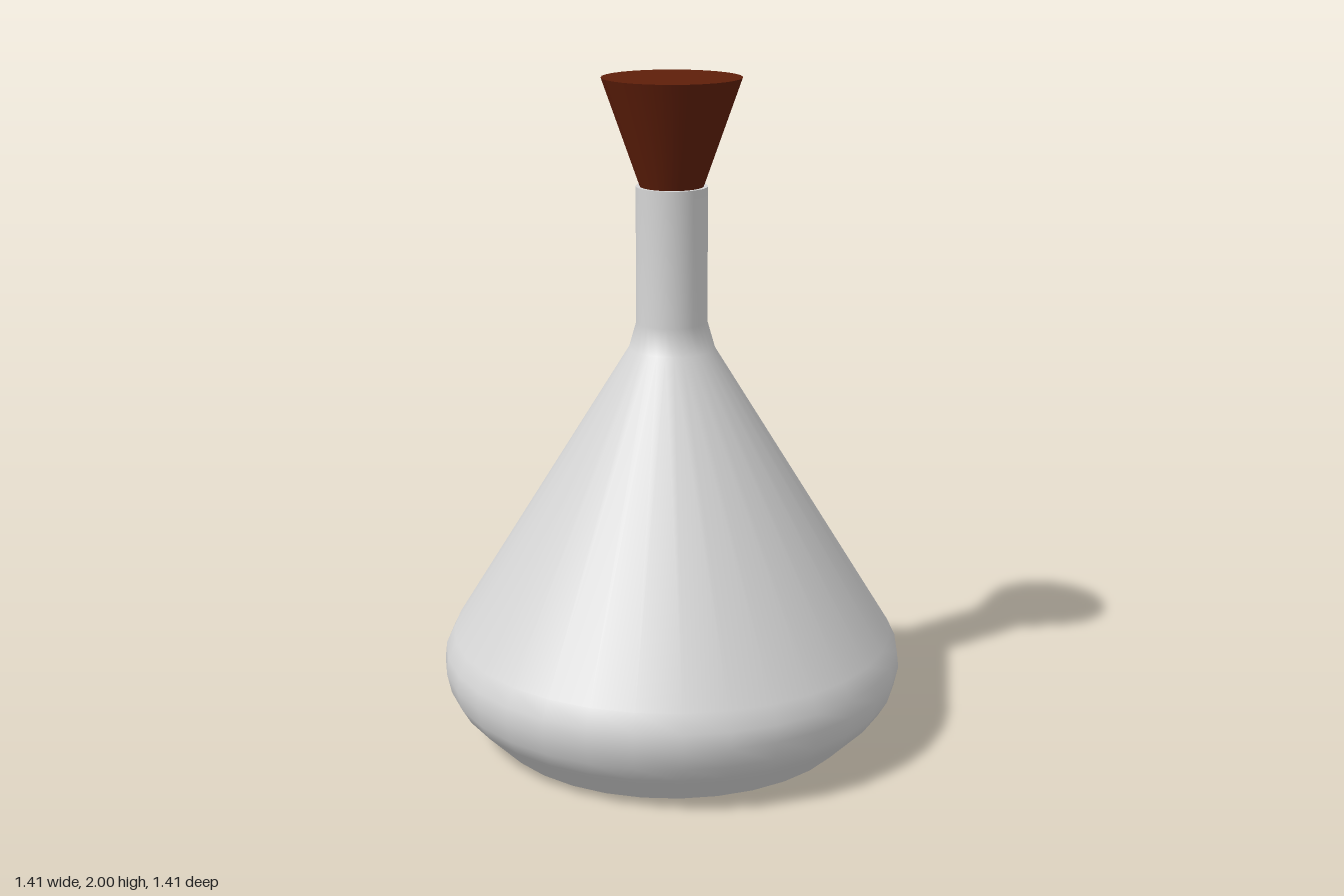
import * as THREE from 'three';

const SEGMENTS = 32;

// Revolve one smooth run of [radius, height] points; separate runs keep hard edges
function revolve(name, points, material) {
  const profile = points.map(([r, y]) => new THREE.Vector2(r, y));
  const mesh = new THREE.Mesh(new THREE.LatheGeometry(profile, SEGMENTS), material);
  mesh.name = name;
  return mesh;
}

export function createModel() {
  const glass = new THREE.MeshStandardMaterial({ color: 0xd4d4d4 });
  glass.name = 'pale glass';
  const cork = new THREE.MeshStandardMaterial({ color: 0x5e1e09 });
  cork.name = 'brown cork';

  const flask = new THREE.Group();
  flask.name = 'flask';
  flask.add(
    // Underside domed up into the flask
    revolve('flaskBase', [
      [0, 0.13], [0.14, 0.122], [0.28, 0.097], [0.42, 0.056], [0.558, 0],
    ], glass),
    // Rounded belly, conical shoulder and straight neck
    revolve('flaskBody', [
      [0.558, 0], [0.663, 0.107], [0.691, 0.155], [0.704, 0.215], [0.698, 0.265], [0.673, 0.318],
      [0.129, 1.2], [0.106, 1.28], [0.106, 1.685],
    ], glass),
    // Neck lip and the inside of the mouth
    revolve('neckRim', [[0.106, 1.685], [0.086, 1.685]], glass),
    revolve('neckInside', [[0.086, 1.685], [0.086, 1.5]], glass),
  );

  // Tapered stopper, seated in the neck
  const stopper = new THREE.Mesh(new THREE.CylinderGeometry(0.205, 0.064, 0.4, SEGMENTS), cork);
  stopper.name = 'stopper';
  stopper.position.y = 1.8;

  const model = new THREE.Group();
  model.name = 'stopperedFlask';
  model.add(flask, stopper);
  return model;
}
